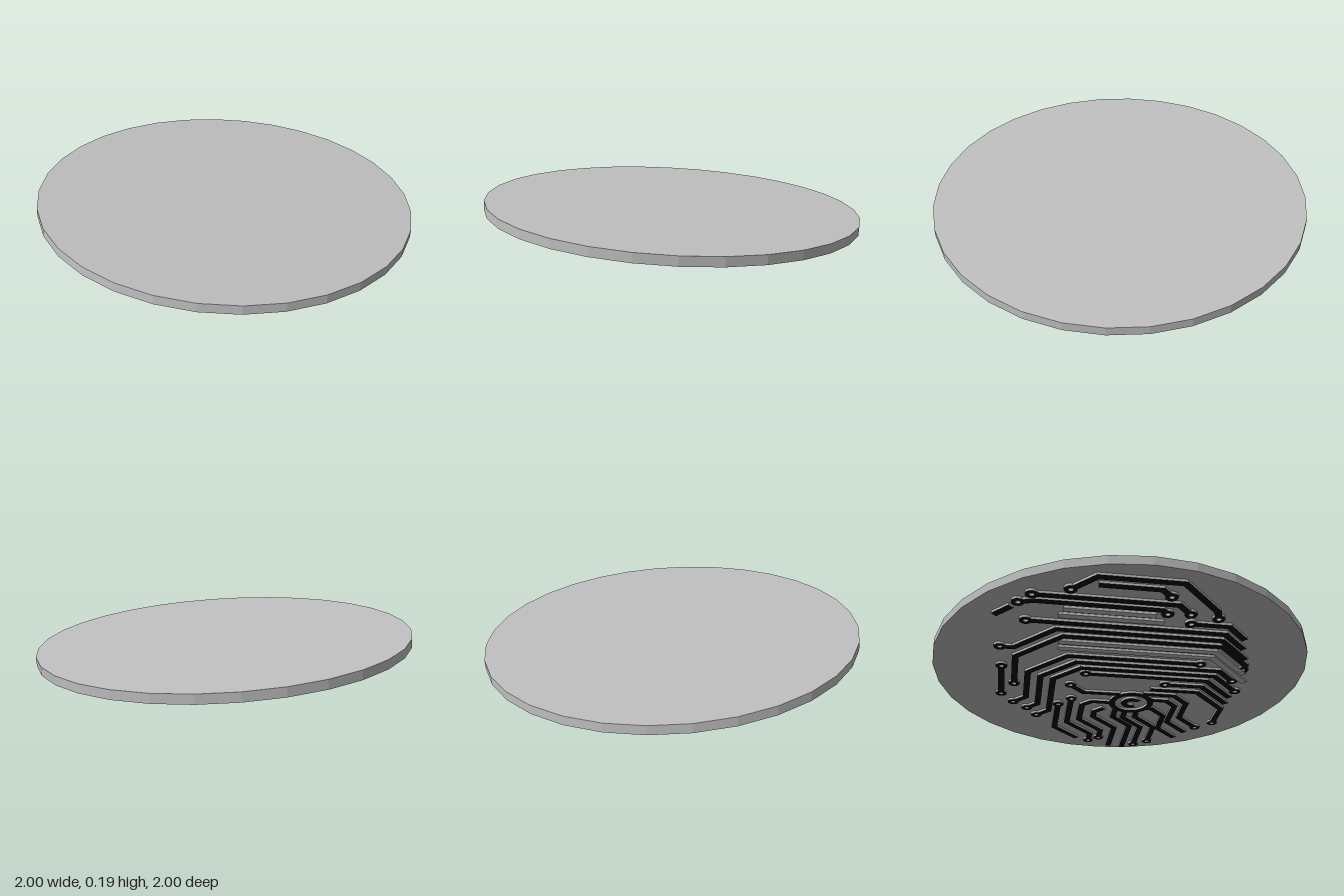
import * as THREE from 'three';

const TRACE_HALF = 1.7; // hundredths of a unit
const PAD_OUT = 3.1, PAD_IN = 1.2;

// Each trace: [pad at start, pad at end, x, z, x, z, ...] in hundredths on the disc underside
const upperTraces = [
  [1, 0, 65, -51, 65, -31, 46, -12, 19, -12],
  [1, 0, 56, -59, 43, -46, 43, -27, 34, -18, 16, -18],
  [0, 0, 51, -67, 37, -53, 37, -31, 31, -25, 21, -25],
  [0, 0, 46, -76, 33, -63, 33, -45, 24, -36, 21, -36],
  [1, 0, 30, -84, 30, -62, 16, -48, 16, -42],
  [1, 0, 22, -90, 22, -63, 9, -50, 9, -42],
  [0, 0, 15, -95, 15, -62, 3, -50, 3, -39],
  [0, 0, 6, -94, 6, -66, -2, -58, -9, -51, -9, -44, -4, -39],
  [1, 0, -2, -82, -2, -71, -17, -56, -17, -36, -12, -31, -1, -31],
  [1, 1, -8, -87, -8, -77, -24, -61, -24, -29],
  [0, 1, -16, -84, -31, -69, -31, -37],
  [1, 0, -26, -12, -18, -20, 3, -20],
  [0, 1, 66, -24, 47, -5, 26, -5],
];
const lowerTraces = [
  [0, 1, 66, -16, 48, 2, -19, 2],
  [1, 1, 67, -8, 51, 8, -22, 8, -36, -6, -36, -46, -43, -53],
  [1, 1, 62, 4, 52, 14, -25, 14, -43, -4, -43, -38, -49, -44],
  [1, 1, 40, 20, -30, 20, -50, 0, -50, -30, -57, -37],
  [1, 1, 64, 17, 64, 22, 47, 39, -34, 39, -57, 16, -57, -14],
  [1, 1, -64, -27, -64, 5],
  [0, 1, 62, 28, 45, 45, -38, 45, -58, 25, -65, 25],
  [0, 1, 58, 38, 45, 51, -53, 51],
  [0, 1, 56, 47, 45, 58, 26, 58],
  [1, 1, 38, 64, 36, 70, 16, 90, -23, 90, -34, 79],
  [1, 0, 12, 79, 7, 84, -22, 84],
  [1, 1, 24, 66, 17, 73, -51, 73],
  [1, 1, 13, 65, 10, 68, -50, 68, -57, 66],
  [0, 0, -60, 62, -68, 54],
];
const paleTraces = [
  [0, 0, 69, 3, 45, 27, -36, 27],
  [0, 0, 66, 12, 45, 33, -36, 33],
  [0, 0, 13, 57, -38, 57],
  [0, 0, 8, 62.5, -36, 62.5],
];

function ring(x, z, outer, inner) {
  const shape = new THREE.Shape().absarc(x, z, outer, 0, Math.PI * 2, false);
  shape.holes.push(new THREE.Path().absarc(x, z, inner, 0, Math.PI * 2, true));
  return shape;
}

// Offsets a polyline to both sides with mitred corners
function strip(points) {
  const left = [], right = [];
  points.forEach((p, i) => {
    const a = points[Math.max(i - 1, 0)], b = points[Math.min(i + 1, points.length - 1)];
    const d1 = (i ? p.clone().sub(a) : b.clone().sub(p)).normalize();
    const d2 = (b !== p ? b.clone().sub(p) : d1.clone()).normalize();
    const n = new THREE.Vector2(-d1.y - d2.y, d1.x + d2.x).normalize();
    n.multiplyScalar(TRACE_HALF / (n.x * -d1.y + n.y * d1.x));
    left.push(p.clone().add(n));
    right.unshift(p.clone().sub(n));
  });
  return new THREE.Shape([...left, ...right]);
}

function traceShapes([padStart, padEnd, ...c]) {
  const shapes = [], pts = [];
  for (let i = 0; i < c.length; i += 2) pts.push(new THREE.Vector2(c[i], c[i + 1]));
  // Stop the strip inside the rim of a pad so the hole stays open
  const addPad = (end, next) => {
    shapes.push(ring(end.x, end.y, PAD_OUT, PAD_IN));
    end.add(next.clone().sub(end).setLength((PAD_OUT + PAD_IN) / 2));
  };
  if (padStart) addPad(pts[0], pts[1]);
  if (padEnd) addPad(pts[pts.length - 1], pts[pts.length - 2]);
  shapes.push(strip(pts));
  return shapes;
}

export function createModel() {
  const model = new THREE.Group();
  const grey = new THREE.MeshStandardMaterial({ color: 0xc0c0c0 });
  grey.name = 'grey';
  const black = new THREE.MeshStandardMaterial({ color: 0x050505 });
  black.name = 'black';

  // Everything sits on one plane, raised slightly at the front
  const board = new THREE.Group();
  board.name = 'tiltedBoard';
  board.position.y = 0.104;
  board.rotation.x = -0.065;
  model.add(board);

  const thickness = 0.047;
  const disc = new THREE.Mesh(
    new THREE.CylinderGeometry(1, 1, thickness, 32).toNonIndexed(), grey);
  disc.geometry.computeVertexNormals();
  disc.name = 'disc';
  board.add(disc);

  // Raised lines hanging below the disc: coloured caps, grey walls
  const addRelief = (name, shapes, capMaterial) => {
    const geometry = new THREE.ExtrudeGeometry(shapes,
      { depth: 1.3, bevelEnabled: false, curveSegments: 12 });
    geometry.rotateX(Math.PI / 2).scale(0.01, 0.01, 0.01);
    const mesh = new THREE.Mesh(geometry, [capMaterial, grey]);
    mesh.name = name;
    mesh.position.y = -thickness / 2;
    board.add(mesh);
  };
  addRelief('upperTraces', upperTraces.flatMap(traceShapes), black);
  addRelief('lowerTraces', lowerTraces.flatMap(traceShapes), black);
  addRelief('paleTraces', paleTraces.flatMap(traceShapes), grey);

  // Central hub: a ring around an open arc
  const arc = new THREE.Shape();
  arc.absarc(11, -30, 6, 0.6, 5.2, false);
  arc.absarc(11, -30, 2.5, 5.2, 0.6, true);
  addRelief('hub', [ring(11, -30, 13, 9.5), arc], black);

  return model;
}
